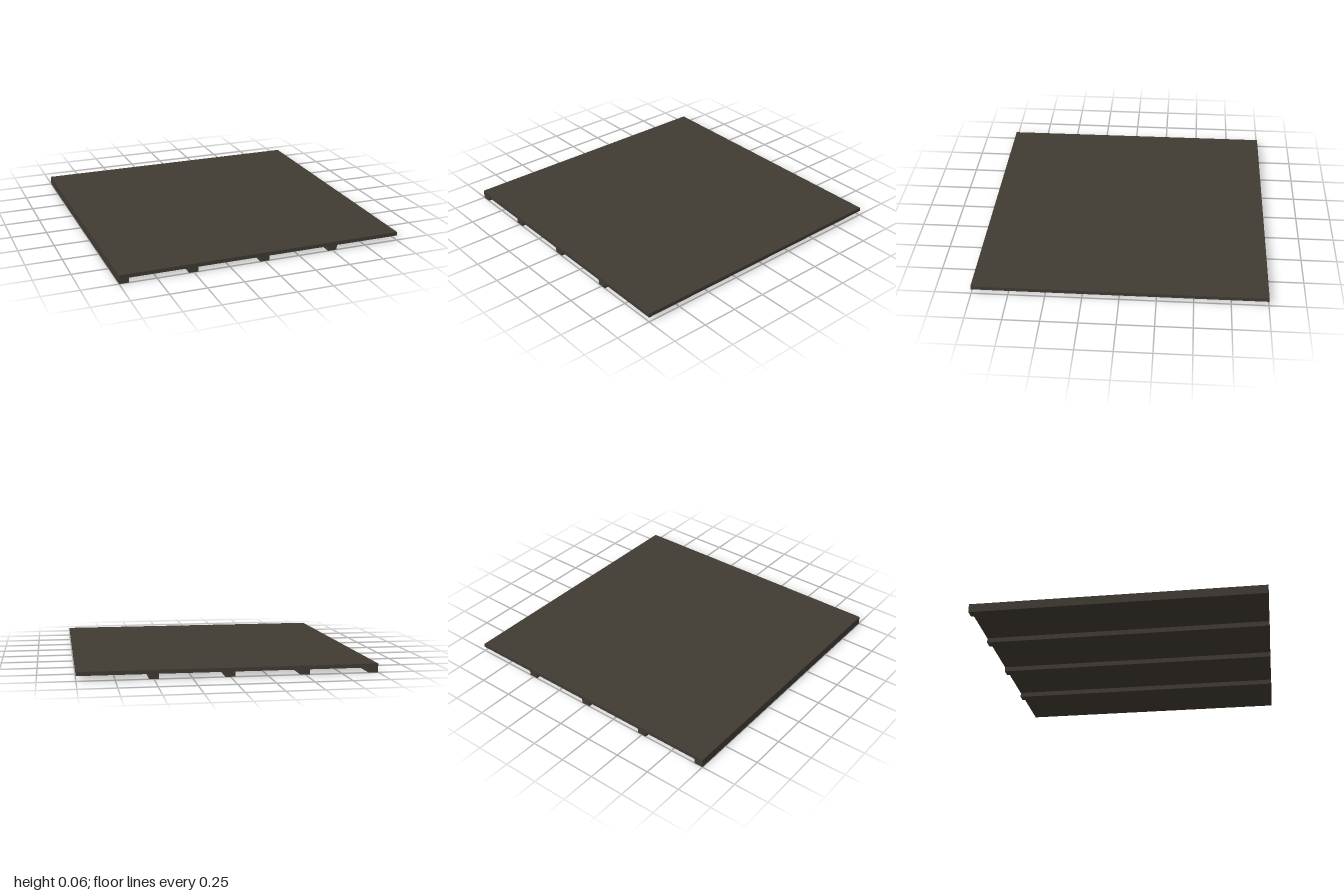
import * as THREE from 'three';

export function createModel() {
  const model = new THREE.Group();
  model.name = 'battenedPanel';
  const darkWood = new THREE.MeshStandardMaterial({ color: 0x403a32 });
  darkWood.name = 'dark wood';

  const totalHeight = 0.06, battenHeight = 0.034, battenWidth = 0.065;

  // Flat square panel
  const panelThickness = totalHeight - battenHeight;
  const panel = new THREE.Mesh(new THREE.BoxGeometry(2, panelThickness, 2), darkWood);
  panel.name = 'panel';
  panel.position.y = battenHeight + panelThickness / 2;
  model.add(panel);

  // Battens underneath, running front to back; the first is flush with the right edge
  const battenGeometry = new THREE.BoxGeometry(battenWidth, battenHeight, 2);
  [-1 + battenWidth / 2, -0.5, 0, 0.5].forEach((x, i) => {
    const batten = new THREE.Mesh(battenGeometry, darkWood);
    batten.name = `batten${i + 1}`;
    batten.position.set(x, battenHeight / 2, 0);
    model.add(batten);
  });

  return model;
}
